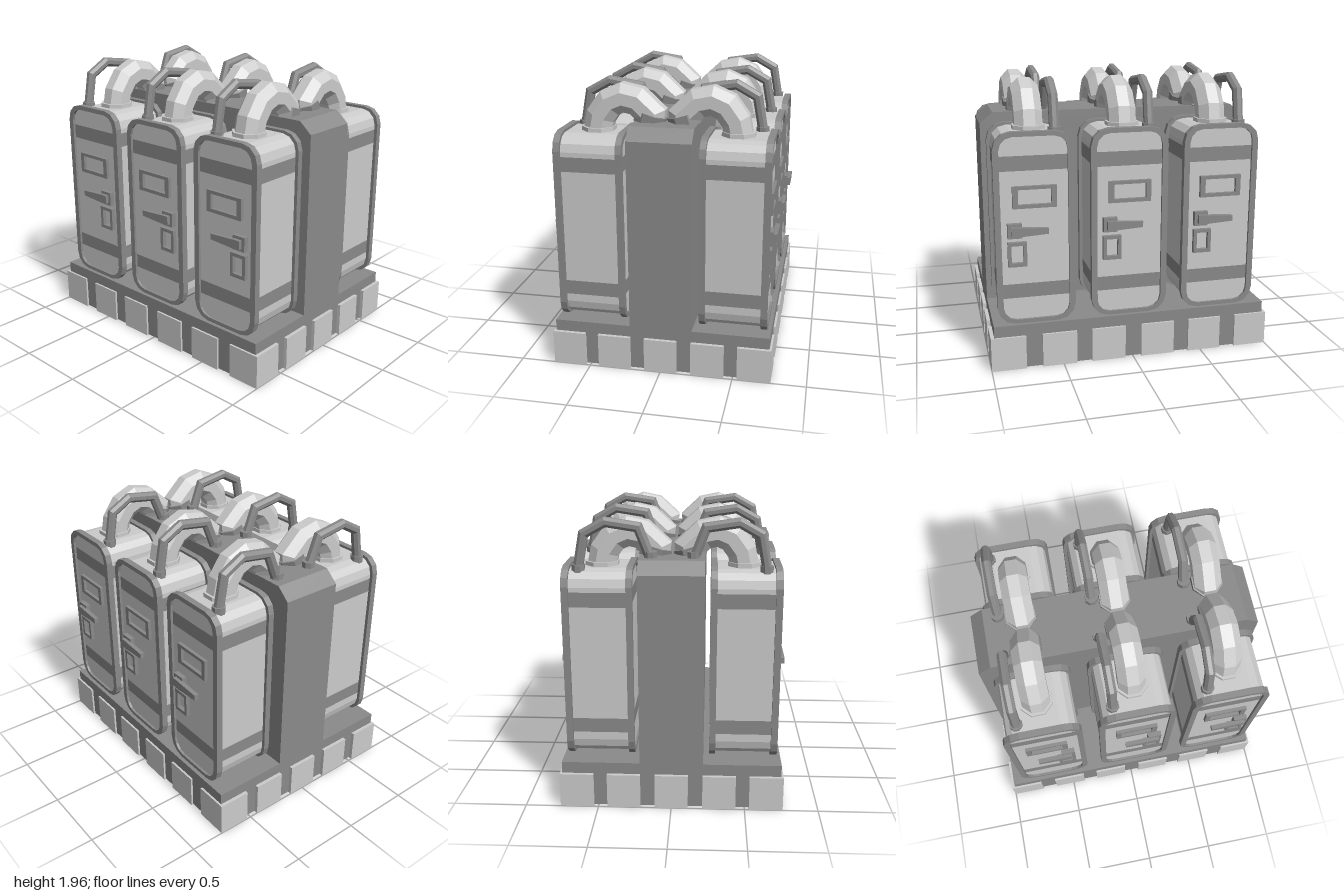
import * as THREE from 'three';

const light = new THREE.MeshStandardMaterial({ color: 0xcccccc, flatShading: true });
const dark = new THREE.MeshStandardMaterial({ color: 0x8a8a8a, flatShading: true });

function add(parent, name, geometry, material, x = 0, y = 0, z = 0) {
  const mesh = new THREE.Mesh(geometry, material);
  mesh.name = name;
  mesh.position.set(x, y, z);
  parent.add(mesh);
  return mesh;
}

// Box given by its x, y and z ranges
function box(parent, name, material, x0, x1, y0, y1, z0, z1) {
  return add(parent, name, new THREE.BoxGeometry(x1 - x0, y1 - y0, Math.abs(z1 - z0)), material,
    (x0 + x1) / 2, (y0 + y1) / 2, (z0 + z1) / 2);
}

// Rectangle outline with separately rounded bottom and top corners, three facets each
function outline(x0, x1, y0, y1, bottom = 0, top = 0) {
  const corners = [[x1, y0, bottom, -1, 1], [x1, y1, top, -1, -1], [x0, y1, top, 1, -1], [x0, y0, bottom, 1, 1]];
  const points = [];
  corners.forEach(([x, y, r, sx, sy], c) => {
    if (!r) return points.push(new THREE.Vector2(x, y));
    for (let i = 0; i <= 3; i++) {
      const a = (c - 1 + i / 3) * Math.PI / 2;
      points.push(new THREE.Vector2(x + sx * r + r * Math.cos(a), y + sy * r + r * Math.sin(a)));
    }
  });
  return points;
}

// Outline, optionally with a hole, extruded between two z positions
function slab(parent, name, material, points, za, zb, hole) {
  const shape = new THREE.Shape(points);
  if (hole) shape.holes.push(new THREE.Path(hole));
  const geometry = new THREE.ExtrudeGeometry(shape, { depth: Math.abs(zb - za), bevelEnabled: false });
  return add(parent, name, geometry, material, 0, 0, Math.min(za, zb));
}

// Octagonal pipe with mitred bends along [z, y] points
function pipe(parent, name, material, path, r, x, side) {
  const pts = path.map(([z, y]) => new THREE.Vector3(0, y, z * side));
  const X = new THREE.Vector3(1, 0, 0), n = 8, pos = [], index = [];
  const dir = i => pts[i + 1].clone().sub(pts[i]).normalize();
  pts.forEach((p, i) => {
    const a = dir(Math.max(i - 1, 0)), b = dir(Math.min(i, pts.length - 2));
    const t = a.clone().add(b).normalize();
    const normal = t.clone().cross(X).multiplyScalar(1 / t.dot(a));
    for (let j = 0; j < n; j++) {
      const ang = (j + 0.5) / n * Math.PI * 2, R = r / Math.cos(Math.PI / n);
      const v = p.clone().addScaledVector(X, R * Math.cos(ang)).addScaledVector(normal, R * Math.sin(ang));
      pos.push(v.x, v.y, v.z);
      if (i < pts.length - 1) {
        const k = (j + 1) % n, o = i * n;
        index.push(o + j, o + k, o + n + k, o + j, o + n + k, o + n + j);
      }
    }
  });
  let geometry = new THREE.BufferGeometry();
  geometry.setAttribute('position', new THREE.Float32BufferAttribute(pos, 3));
  geometry.setIndex(index);
  geometry = geometry.toNonIndexed();
  geometry.computeVertexNormals();
  return add(parent, name, geometry, material, x);
}

// Octagonal collar around a pipe
function collar(parent, name, material, r, h, x, y, z, tilt = 0) {
  const geometry = new THREE.CylinderGeometry(r, r, h, 8);
  geometry.rotateY(Math.PI / 8);
  add(parent, name, geometry, material, x, y, z).rotation.x = tilt;
}

// One canister; side is 1 at the front and -1 at the back
function createCanister(x, side) {
  const g = new THREE.Group();
  g.name = side > 0 ? 'frontCanister' : 'backCanister';
  g.position.x = x;
  const zIn = 0.27 * side, zOut = 0.7 * side, w = 0.245;

  // Body in stacked sections with two dark bands
  const sections = [
    ['bodyBottom', light, 0.335, 0.5, 0.11, 0], ['lowerBand', dark, 0.5, 0.6, 0, 0],
    ['bodyMiddle', light, 0.6, 1.38, 0, 0], ['upperBand', dark, 1.38, 1.48, 0, 0],
    ['bodyTop', light, 1.48, 1.622, 0, 0.11],
  ];
  for (const [name, mat, y0, y1, rb, rt] of sections)
    slab(g, name, mat, outline(-w, w, y0, y1, rb, rt), zIn, zOut);

  // Rims around both ends
  for (const [name, z0, z1] of [['innerRim', 0.255, 0.297], ['outerRim', 0.673, 0.718]])
    slab(g, name, dark, outline(-0.268, 0.268, 0.32, 1.64, 0.12, 0.12), z0 * side, z1 * side,
      outline(-0.227, 0.227, 0.347, 1.608, 0.09, 0.09));

  // Window and tag frames
  slab(g, 'windowFrame', dark, outline(-0.148, 0.147, 1.13, 1.28), 0.69 * side, 0.724 * side,
    outline(-0.113, 0.11, 1.155, 1.257));
  slab(g, 'tagFrame', dark, outline(0.06, 0.188, 0.73, 0.9), 0.69 * side, 0.728 * side,
    outline(0.084, 0.164, 0.755, 0.876));

  // Latch: mount and tapered lever
  box(g, 'latchMount', dark, 0.09, 0.187, 0.93, 1.03, 0.69 * side, 0.735 * side);
  const lever = box(g, 'latchLever', dark, -0.083, 0.135, 0.945, 1.01, 0.728 * side, 0.76 * side);
  const p = lever.geometry.attributes.position;
  for (let i = 0; i < p.count; i++) if (p.getX(i) < 0) p.setY(i, p.getY(i) * 0.6);
  box(g, 'latchPivot', dark, 0.11, 0.165, 0.95, 1.01, 0.72 * side, 0.76 * side);

  // Thick hose into the centre wall
  pipe(g, 'hose', light, [[0.48, 1.6], [0.455, 1.72], [0.39, 1.81], [0.3, 1.848], [0.205, 1.828],
    [0.11, 1.74], [0.12, 1.66]], 0.095, 0, side);
  collar(g, 'hoseCollar', light, 0.118, 0.05, 0, 1.625, 0.475 * side);
  collar(g, 'hoseSocket', dark, 0.112, 0.08, 0, 1.71, 0.115 * side, -0.3 * side);

  // Thin side pipe
  const px = -0.155;
  pipe(g, 'sidePipe', dark, [[0.625, 1.58], [0.575, 1.85], [0.435, 1.928], [0.22, 1.895], [0.13, 1.66]], 0.032, px, side);
  collar(g, 'sidePipeFoot', dark, 0.045, 0.08, px, 1.61, 0.615 * side);
  collar(g, 'sidePipeSocket', dark, 0.045, 0.06, px, 1.71, 0.14 * side);
  return g;
}

export function createModel() {
  const model = new THREE.Group();
  model.name = 'canisterRack';

  // Base and centre wall with chamfered top ends
  box(model, 'base', dark, -0.975, 0.975, 0.005, 0.32, -0.745, 0.745);
  const wall = [[-0.975, 0.3], [0.975, 0.3], [0.975, 1.62], [0.885, 1.7], [-0.885, 1.7], [-0.975, 1.62]];
  slab(model, 'centreWall', dark, wall.map(([x, y]) => new THREE.Vector2(x, y)), -0.215, 0.215);

  // Blocks around the base
  for (const s of [-1, 1]) {
    for (const x of [-0.88, -0.526, -0.178, 0.178, 0.526, 0.88])
      box(model, 'baseBlock', light, x - 0.12, x + 0.12, 0, 0.24, s * 0.53, s * 0.76);
    for (const z of [-0.325, 0, 0.325])
      box(model, 'sideBlock', light, s > 0 ? 0.76 : -1, s > 0 ? 1 : -0.76, 0, 0.24, z - 0.113, z + 0.113);
  }

  // Three canisters on each side of the wall
  for (const side of [1, -1])
    for (const x of [-0.627, 0.023, 0.673]) model.add(createCanister(x, side));
  return model;
}
